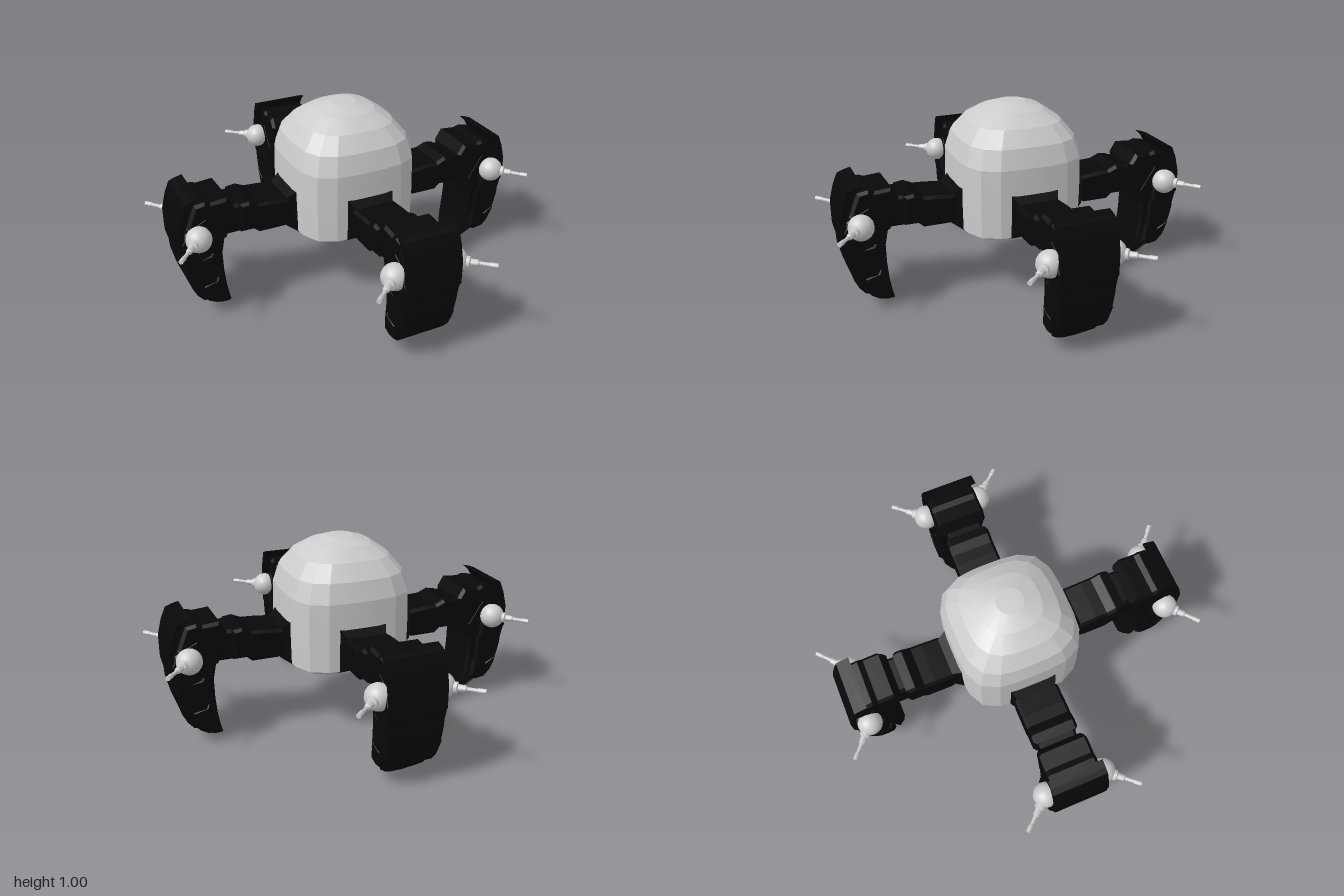
import * as THREE from 'three';
import { toCreasedNormals } from 'three/addons/utils/BufferGeometryUtils.js';

const grey = new THREE.MeshStandardMaterial({ color: 0xcccccc });
const black = new THREE.MeshStandardMaterial({ color: 0x080808 });

function add(group, name, geometry, material) {
  const mesh = new THREE.Mesh(geometry, material);
  mesh.name = name;
  group.add(mesh);
  return mesh;
}

// Side profile (x, y) extruded to +-half in z, with bevelled rims
function slab(profile, half, bevel = 0.015) {
  const shape = new THREE.Shape(profile.map(([x, y]) => new THREE.Vector2(x, y)));
  const g = new THREE.ExtrudeGeometry(shape, {
    depth: 2 * (half - bevel), bevelEnabled: bevel > 0, bevelSegments: 1,
    bevelSize: bevel, bevelThickness: bevel, bevelOffset: -bevel,
  });
  return g.translate(0, 0, bevel - half);
}

// Narrows the lower end of a claw part to a rounded tip
function roundTip(g) {
  const p = g.attributes.position;
  for (let i = 0; i < p.count; i++) {
    const t = Math.min(0.98, Math.max(0, (0.14 - p.getY(i)) / 0.145));
    p.setZ(i, p.getZ(i) * Math.sqrt(1 - t * t));
  }
  g.computeVertexNormals();
  return g;
}

// Body lofted from rounded-square rings: [y, half width, squareness]
function bodyGeometry() {
  const rings = [
    [0.285, 0.001, 3], [0.29, 0.11, 3], [0.31, 0.21, 3.2], [0.335, 0.275, 3.4], [0.37, 0.322, 3.7],
    [0.55, 0.325, 3.7], [0.73, 0.322, 3.7], [0.83, 0.295, 3.4], [0.91, 0.235, 3],
    [0.965, 0.155, 2.6], [0.995, 0.07, 2.2], [1, 0.001, 2],
  ];
  const sides = 24, pos = [], index = [];
  rings.forEach(([y, h, n], j) => {
    for (let i = 0; i < sides; i++) {
      const a = (i / sides) * Math.PI * 2, c = Math.cos(a), s = Math.sin(a);
      const r = h / Math.pow(Math.abs(c) ** n + Math.abs(s) ** n, 1 / n);
      pos.push(r * c, y, r * s);
      if (j === 0) continue;
      const k = (i + 1) % sides, lo = (j - 1) * sides, hi = j * sides;
      index.push(lo + i, hi + i, hi + k, lo + i, hi + k, lo + k);
    }
  });
  const g = new THREE.BufferGeometry();
  g.setAttribute('position', new THREE.Float32BufferAttribute(pos, 3));
  g.setIndex(index);
  return toCreasedNormals(g, 0.22);
}

// Flared mounting plate where the arm meets the body
function mountGeometry() {
  const g = new THREE.BoxGeometry(0.06, 0.24, 0.26).toNonIndexed();
  const p = g.attributes.position;
  for (let i = 0; i < p.count; i++) {
    if (p.getX(i) > 0) p.setXYZ(i, p.getX(i), p.getY(i) * 0.66, p.getZ(i) * 0.78);
  }
  g.computeVertexNormals();
  return g.translate(0.34, 0.482, 0);
}

// Ball turret with a stepped barrel, on side s of the knee
function makeTurret(s) {
  const turret = new THREE.Group();
  turret.name = 'turret';
  add(turret, 'turretBall', new THREE.SphereGeometry(0.066, 20, 14), grey);
  const profile = [[0, 0.05], [0.028, 0.05], [0.028, 0.075], [0.018, 0.08], [0.016, 0.115],
    [0.01, 0.12], [0.009, 0.165], [0.012, 0.17], [0.012, 0.207], [0, 0.207]];
  const barrel = new THREE.LatheGeometry(profile.map(([x, y]) => new THREE.Vector2(x, y)), 12);
  const mesh = add(turret, 'turretBarrel', toCreasedNormals(barrel, 0.6), grey);
  mesh.quaternion.setFromUnitVectors(
    new THREE.Vector3(0, 1, 0), new THREE.Vector3(0.66, 0, 0.75 * s).normalize());
  turret.position.set(0.853, 0.48, 0.158 * s);
  return turret;
}

// One leg reaching out along +x
function makeLeg() {
  const leg = new THREE.Group();
  leg.name = 'leg';
  add(leg, 'mountPlate', mountGeometry(), black);

  // Jointed arm
  add(leg, 'upperArm', slab([[0.35, 0.43], [0.38, 0.41], [0.52, 0.41], [0.55, 0.435], [0.62, 0.435],
    [0.62, 0.59], [0.57, 0.597], [0.52, 0.575], [0.46, 0.572], [0.35, 0.562]], 0.12), black);
  add(leg, 'armJoint', slab([[0.6, 0.43], [0.74, 0.43], [0.74, 0.59], [0.6, 0.59]], 0.1), black);

  // Knee block and curved claw
  add(leg, 'knee', slab([[0.65, 0.595], [0.7, 0.43], [0.88, 0.4], [0.9, 0.53], [0.855, 0.645],
    [0.8, 0.655], [0.77, 0.645], [0.685, 0.652]], 0.13), black);
  add(leg, 'claw', roundTip(slab([[0.71, 0.44], [0.728, 0.35], [0.726, 0.25], [0.718, 0.16],
    [0.705, 0.09], [0.692, 0.045], [0.68, 0.012], [0.73, 0], [0.765, 0.03], [0.81, 0.067], [0.87, 0.14],
    [0.905, 0.24], [0.925, 0.34], [0.935, 0.42], [0.9, 0.53], [0.8, 0.58]], 0.132)), black);

  // Overlapping armour down the outside of the claw
  add(leg, 'upperShell', slab([[0.925, 0.38], [0.945, 0.41], [0.946, 0.525], [0.925, 0.61], [0.9, 0.67],
    [0.87, 0.682], [0.83, 0.692], [0.862, 0.664], [0.882, 0.63], [0.905, 0.57], [0.922, 0.5]], 0.145, 0), black);
  add(leg, 'middleArmour', slab([[0.79, 0.36], [0.8, 0.5], [0.87, 0.53], [0.92, 0.51], [0.945, 0.46],
    [0.945, 0.4], [0.93, 0.34], [0.86, 0.33]], 0.15), black);
  add(leg, 'lowerArmour', slab([[0.765, 0.19], [0.775, 0.37], [0.86, 0.36], [0.935, 0.38],
    [0.93, 0.3], [0.908, 0.21], [0.84, 0.18]], 0.146), black);
  add(leg, 'tipArmour', roundTip(slab([[0.745, 0.12], [0.76, 0.22], [0.84, 0.2], [0.915, 0.24],
    [0.9, 0.185], [0.878, 0.14], [0.845, 0.1], [0.79, 0.09]], 0.147)), black);

  for (const s of [-1, 1]) leg.add(makeTurret(s));
  return leg;
}

export function createModel() {
  const model = new THREE.Group();
  model.name = 'fourLeggedWalker';
  add(model, 'body', bodyGeometry(), grey);
  for (let i = 0; i < 4; i++) {
    const leg = makeLeg();
    leg.rotation.y = (i * Math.PI) / 2;
    model.add(leg);
  }
  return model;
}
